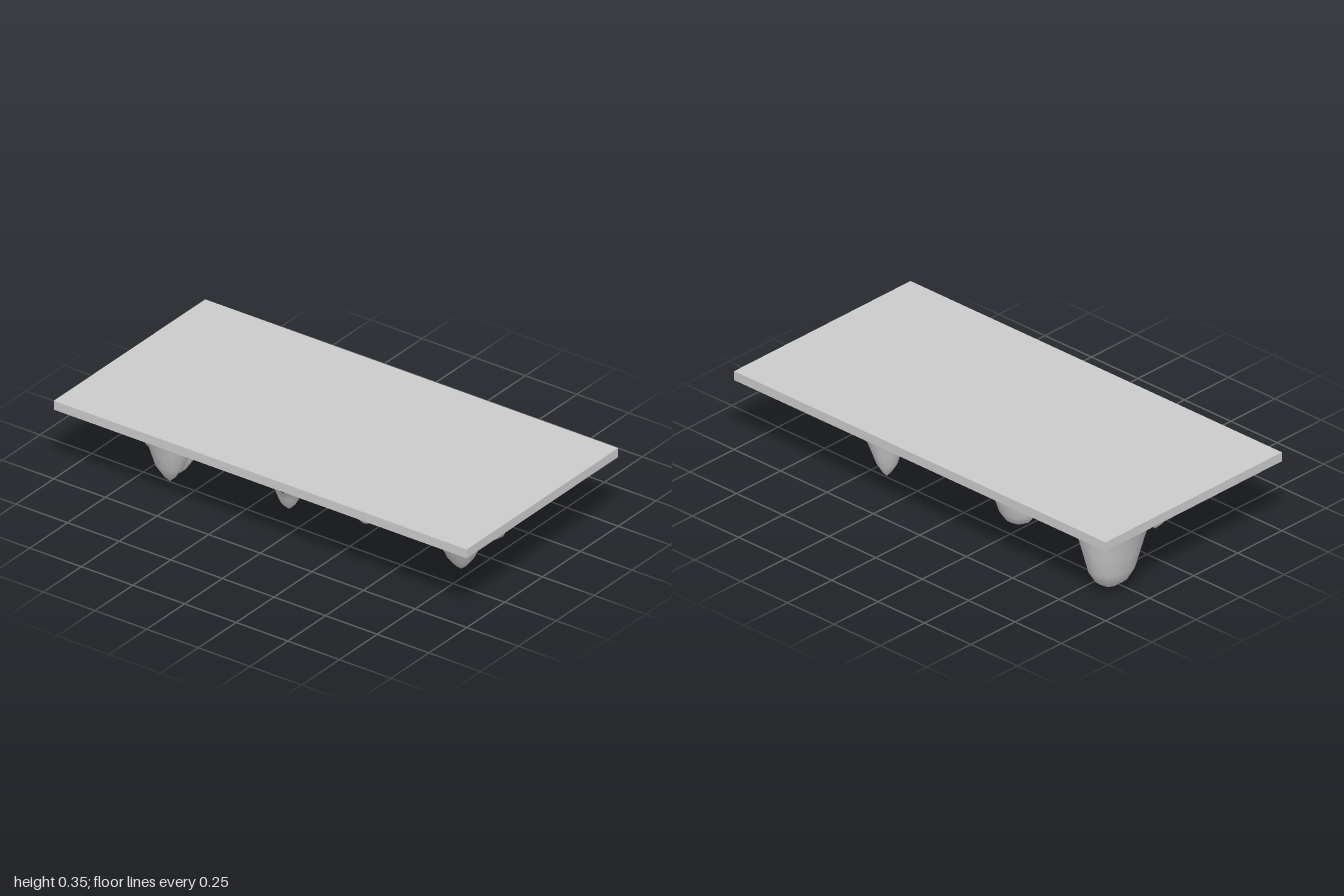
import * as THREE from 'three';

const CEILING = 0.31;

// Profiles: [share of the drop, share of the base radius], from ceiling to tip
const PROFILES = {
  spike: [[0, 1], [0.08, 0.88], [0.25, 0.7], [0.5, 0.53], [0.75, 0.36], [0.92, 0.15], [1, 0]],
  bulge: [[0, 1], [0.15, 0.9], [0.4, 0.77], [0.7, 0.62], [0.88, 0.43], [0.97, 0.2], [1, 0]],
};

// Each entry: profile, base centre x z, base radii x z, tip x y z
const CLUMPS = {
  leftLargeStalactite: [
    ['bulge', 0.78, 0.17, 0.17, 0.2, 0.79, 0.165, 0.13],
    ['spike', 0.79, 0.26, 0.15, 0.15, 0.79, 0.08, 0.25],
    ['spike', 0.63, -0.02, 0.09, 0.09, 0.62, 0.18, -0.04],
    ['bulge', 0.59, 0.17, 0.11, 0.11, 0.56, 0.215, 0.2],
  ],
  leftBackNub: [['bulge', 0.76, -0.28, 0.08, 0.08, 0.76, 0.2, -0.28]],
  twinStalactite: [
    ['bulge', 0.39, -0.32, 0.14, 0.13, 0.37, 0.18, -0.31],
    ['spike', 0.35, -0.33, 0.11, 0.12, 0.335, 0.07, -0.335],
    ['spike', 0.42, -0.29, 0.1, 0.1, 0.41, 0.11, -0.29],
  ],
  middleSpike: [['bulge', 0.21, 0.08, 0.095, 0.1, 0.21, 0.015, 0.085]],
  frontNub: [['spike', 0.09, 0.415, 0.09, 0.085, 0.08, 0.19, 0.42]],
  rightFrontNub: [
    ['spike', -0.16, 0.23, 0.1, 0.1, -0.17, 0.17, 0.25],
    ['spike', -0.1, 0.27, 0.07, 0.07, -0.11, 0.2, 0.27],
  ],
  slenderSpike: [
    ['spike', 0.01, -0.17, 0.09, 0.08, 0, 0.1, -0.165],
    ['bulge', -0.04, -0.12, 0.07, 0.07, -0.05, 0.235, -0.1],
  ],
  rightBackBulge: [
    ['bulge', -0.26, -0.24, 0.19, 0.17, -0.28, 0.15, -0.23],
    ['bulge', -0.34, -0.31, 0.12, 0.12, -0.36, 0.12, -0.32],
    ['bulge', -0.15, -0.17, 0.1, 0.1, -0.17, 0.2, -0.17],
  ],
  rightLargeStalactite: [
    ['bulge', -0.63, 0.19, 0.19, 0.19, -0.63, 0.09, 0.19],
    ['spike', -0.62, 0.23, 0.17, 0.16, -0.62, 0.003, 0.25],
    ['spike', -0.63, 0.16, 0.17, 0.15, -0.63, 0, 0.17],
    ['bulge', -0.76, 0.12, 0.11, 0.14, -0.79, 0.18, 0.14],
    ['spike', -0.67, -0.03, 0.09, 0.11, -0.67, 0.19, -0.01],
  ],
  rightBackSpike: [['bulge', -0.83, -0.29, 0.15, 0.16, -0.83, 0.012, -0.295]],
};

// Small seeded generator for uneven rock
let seed = 7;
function random() {
  seed = (seed * 16807) % 2147483647;
  return seed / 2147483647;
}

// Loft of uneven rings narrowing from the ceiling to a point
function rockGeometry([kind, cx, cz, rx, rz, tx, ty, tz], sides = 14) {
  const profile = PROFILES[kind];
  const positions = [], index = [];
  const phase = random() * Math.PI * 2;
  const lumps = Array.from({ length: sides }, () => 0.95 + 0.1 * random());
  profile.forEach(([t, r]) => {
    const shift = Math.min(1, t * 1.6);
    for (let i = 0; i < sides; i++) {
      const a = (i / sides) * Math.PI * 2;
      const k = r * lumps[i] * (1 + 0.05 * Math.sin(3 * a + phase + t * 2));
      positions.push(
        cx + (tx - cx) * shift + Math.cos(a) * rx * k,
        CEILING + (ty - CEILING) * t,
        cz + (tz - cz) * shift + Math.sin(a) * rz * k,
      );
    }
  });
  for (let j = 0; j < profile.length - 1; j++) {
    for (let i = 0; i < sides; i++) {
      const n = (i + 1) % sides;
      const a = j * sides + i, b = j * sides + n;
      index.push(a, b, a + sides);
      if (j < profile.length - 2) index.push(b, b + sides, a + sides);
    }
  }
  const geometry = new THREE.BufferGeometry();
  geometry.setAttribute('position', new THREE.Float32BufferAttribute(positions, 3));
  geometry.setIndex(index);
  geometry.computeVertexNormals();
  return geometry;
}

export function createModel() {
  const model = new THREE.Group();
  model.name = 'stalactiteCeiling';
  const material = new THREE.MeshStandardMaterial({ color: 0xcccccc });

  // Flat ceiling slab
  const slab = new THREE.Mesh(new THREE.BoxGeometry(2, 0.04, 1), material);
  slab.name = 'ceilingSlab';
  slab.position.y = CEILING + 0.02;
  model.add(slab);

  // Hanging rock clumps
  for (const [name, rocks] of Object.entries(CLUMPS)) {
    const clump = new THREE.Group();
    clump.name = name;
    rocks.forEach((rock, i) => {
      const mesh = new THREE.Mesh(rockGeometry(rock), material);
      mesh.name = `${name}Rock${i + 1}`;
      clump.add(mesh);
    });
    model.add(clump);
  }
  return model;
}
